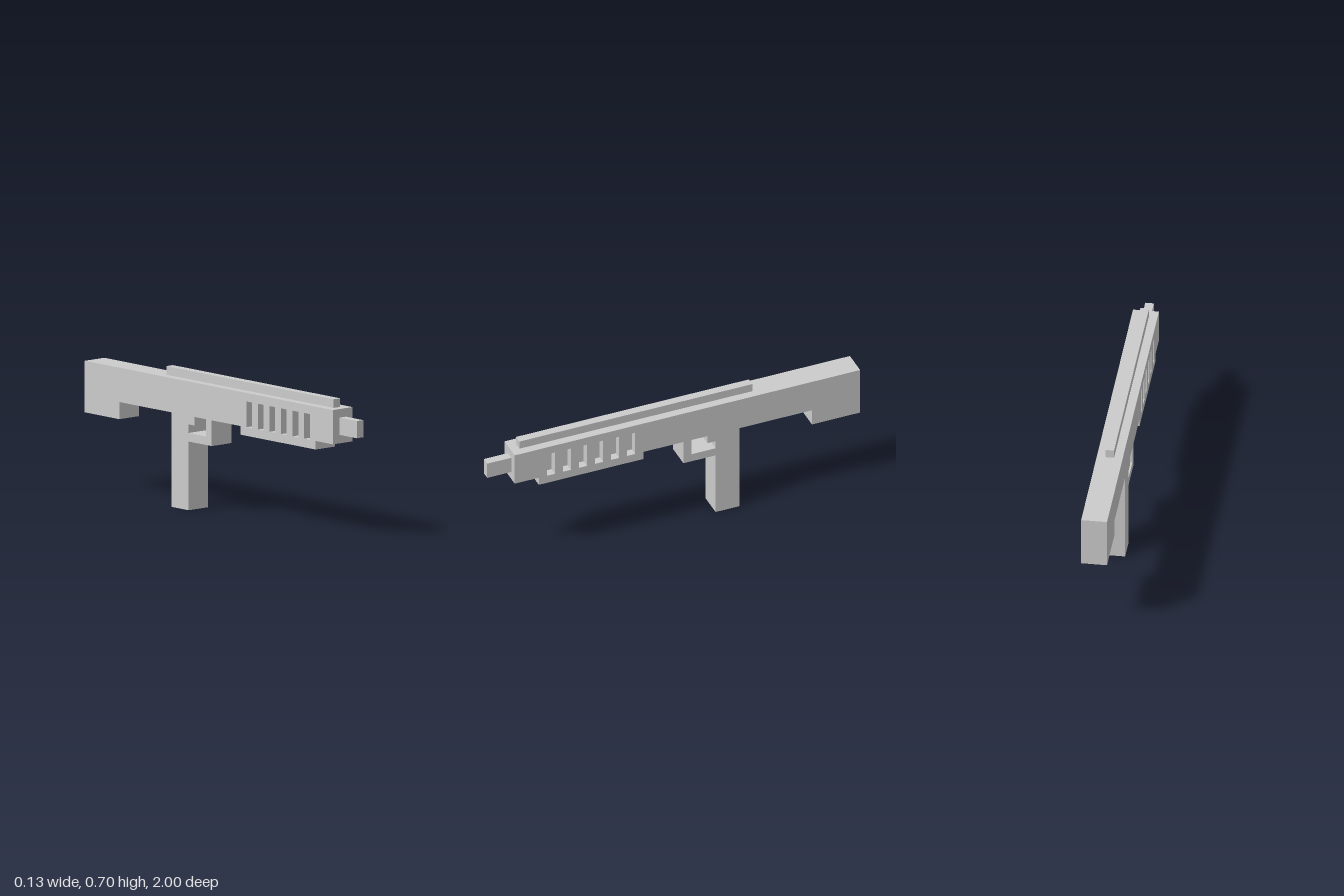
import * as THREE from 'three';

const U = 1 / 23; // grid unit shared by every part
const HALF_WIDTH = 1.5; // half of the full body width, in grid units

export function createModel() {
  const model = new THREE.Group();
  const material = new THREE.MeshStandardMaterial({ color: 0xcccccc, flatShading: true });

  function add(name, geometry, parent = model) {
    const mesh = new THREE.Mesh(geometry, material);
    mesh.name = name;
    parent.add(mesh);
    return mesh;
  }

  // Box given by its z and y ranges in grid units, centred on x
  function block(name, z0, z1, y0, y1, width = 2 * HALF_WIDTH, parent = model) {
    const geometry = new THREE.BoxGeometry(width * U, (y1 - y0) * U, (z1 - z0) * U);
    geometry.translate(0, (y0 + y1) / 2 * U, (z0 + z1) / 2 * U);
    return add(name, geometry, parent);
  }

  const path = (points, Type) => new Type(points.map(([z, y]) => new THREE.Vector2(z * U, y * U)));

  // Receiver with stepped handguard, pierced by the vent slots
  const profile = path([
    [-23, 11], [4, 11], [4, 10], [17, 10], [17, 11], [20, 11], [20, 15], [-23, 15],
  ], THREE.Shape);
  const slots = new THREE.Group();
  slots.name = 'ventSlotFloors';
  model.add(slots);
  for (let z = 5; z <= 15; z += 2) {
    profile.holes.push(path([[z, 11], [z, 14], [z + 1, 14], [z + 1, 11]], THREE.Path));
    // Solid core leaves a shallow pocket on each side
    block('ventSlotFloor', z, z + 1, 11, 14, 1, slots);
  }
  const receiver = new THREE.ExtrudeGeometry(profile, { depth: 2 * HALF_WIDTH * U, bevelEnabled: false });
  receiver.translate(0, 0, -HALF_WIDTH * U);
  receiver.rotateY(-Math.PI / 2);
  add('receiver', receiver);

  // Narrow parts on the centre line
  block('barrel', 20, 23, 12, 14, 1);
  block('topRail', -10, 19, 15, 16, 1);

  // Full-width parts under the receiver
  block('stockHeel', -23, -17, 9, 11);
  block('grip', -8, -5, 0, 11);
  block('trigger', -5, -4, 10, 11);

  // L-shaped guard joining receiver and grip
  const guard = new THREE.Group();
  guard.name = 'triggerGuard';
  model.add(guard);
  block('guardPost', -2, -1, 8, 11, 2 * HALF_WIDTH, guard);
  block('guardBase', -5, -2, 8, 9, 2 * HALF_WIDTH, guard);

  return model;
}
